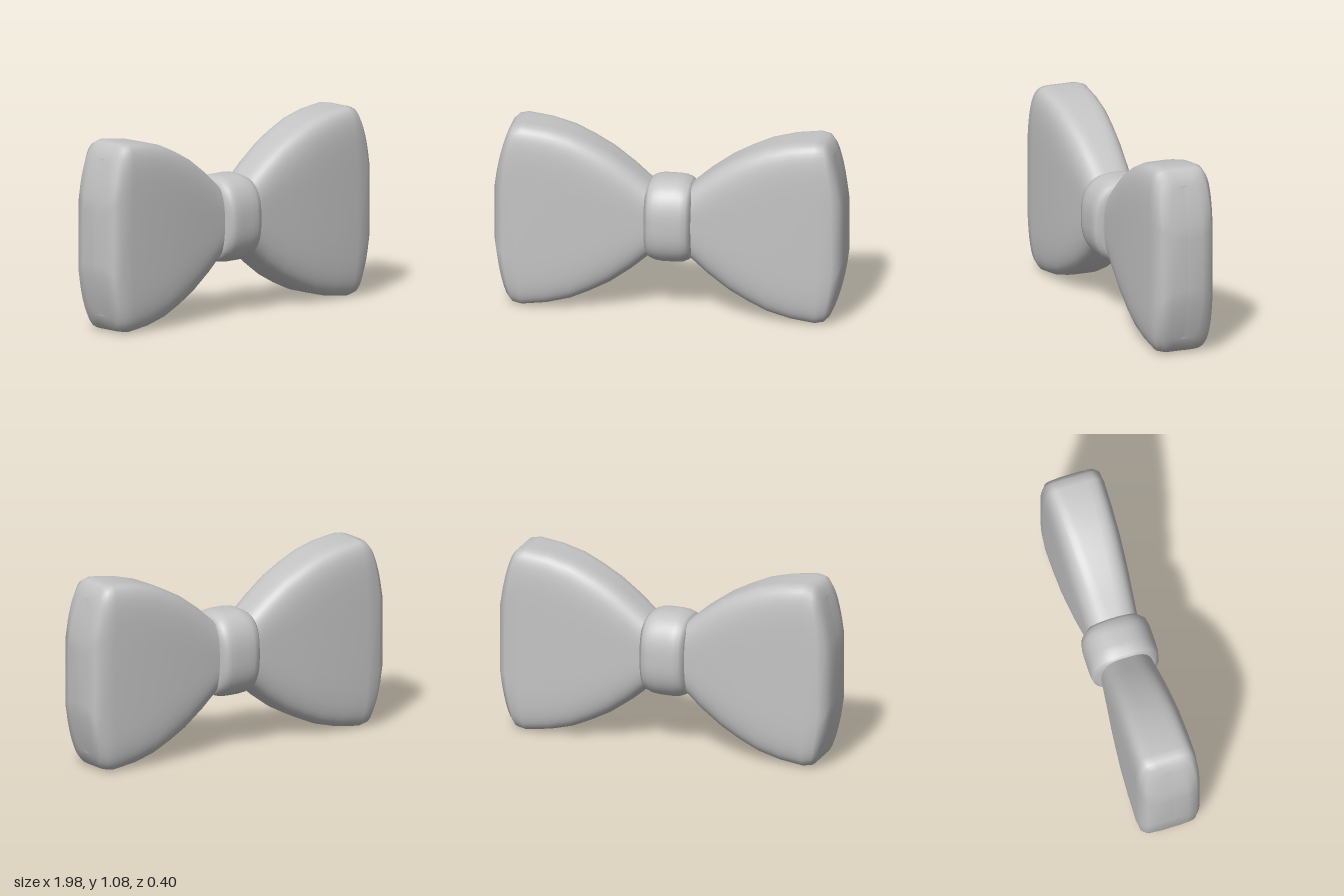
import * as THREE from 'three';

const SEGMENTS = 48;
const MID_Y = 0.542;

// Lofts superellipse sections along x: [x, halfHeight, halfDepth, exponent, bulge].
// Bulge pulls the top and bottom of a section back towards the centre.
function loft(sections) {
  const positions = [];
  const indices = [];
  const power = (v, e) => Math.sign(v) * Math.pow(Math.abs(v), e);
  for (const [x, h, d, n, bulge = 0] of sections) {
    for (let i = 0; i < SEGMENTS; i++) {
      const a = ((i + 0.5) / SEGMENTS) * Math.PI * 2;
      const t = power(Math.cos(a), 2 / n);
      positions.push(x - bulge * t * t, h * t, d * power(Math.sin(a), 2 / n));
    }
  }
  for (let s = 0; s < sections.length - 1; s++) {
    for (let i = 0; i < SEGMENTS; i++) {
      const j = (i + 1) % SEGMENTS;
      const a = s * SEGMENTS + i, b = s * SEGMENTS + j;
      const c = a + SEGMENTS, e = b + SEGMENTS;
      indices.push(a, b, c, b, e, c);
    }
  }
  const geometry = new THREE.BufferGeometry();
  geometry.setAttribute('position', new THREE.Float32BufferAttribute(positions, 3));
  geometry.setIndex(indices);
  geometry.computeVertexNormals();
  return geometry;
}

export function createModel() {
  const group = new THREE.Group();
  group.name = 'bowTie';
  const fabric = new THREE.MeshStandardMaterial({ color: 0xc4c4c4 });
  fabric.name = 'greyFabric';

  // Flared wing with a softly rounded, bowed outer end
  const wing = loft([
    [0.05, 0.17, 0.135, 3],
    [0.12, 0.215, 0.147, 3],
    [0.22, 0.3, 0.155, 3.5],
    [0.34, 0.385, 0.165, 4],
    [0.45, 0.442, 0.172, 4.5],
    [0.56, 0.49, 0.177, 5],
    [0.7, 0.523, 0.179, 5.5, 0.01],
    [0.86, 0.54, 0.179, 6, 0.03],
    [0.945, 0.53, 0.172, 6, 0.065],
    [0.985, 0.5, 0.145, 6, 0.075],
    [1.0, 0.45, 0.09, 5, 0.07],
    [1.0, 0.44, 0, 5, 0.07],
  ]);
  for (const side of ['left', 'right']) {
    const mesh = new THREE.Mesh(wing, fabric);
    mesh.name = side + 'Wing';
    mesh.position.y = MID_Y;
    if (side === 'right') mesh.rotation.y = Math.PI;
    group.add(mesh);
  }

  // Band wrapped around the middle
  const half = [
    [0.04, 0.247, 0.2, 2.5],
    [0.075, 0.243, 0.199, 2.5],
    [0.108, 0.228, 0.192, 2.6],
    [0.133, 0.21, 0.16, 2.7],
    [0.12, 0.18, 0.12, 2.7],
  ];
  const mirrored = half.map(([x, ...rest]) => [-x, ...rest]).reverse();
  const knot = new THREE.Mesh(loft([...mirrored, ...half]), fabric);
  knot.name = 'centreKnot';
  knot.position.y = MID_Y + 0.002;
  group.add(knot);

  return group;
}
